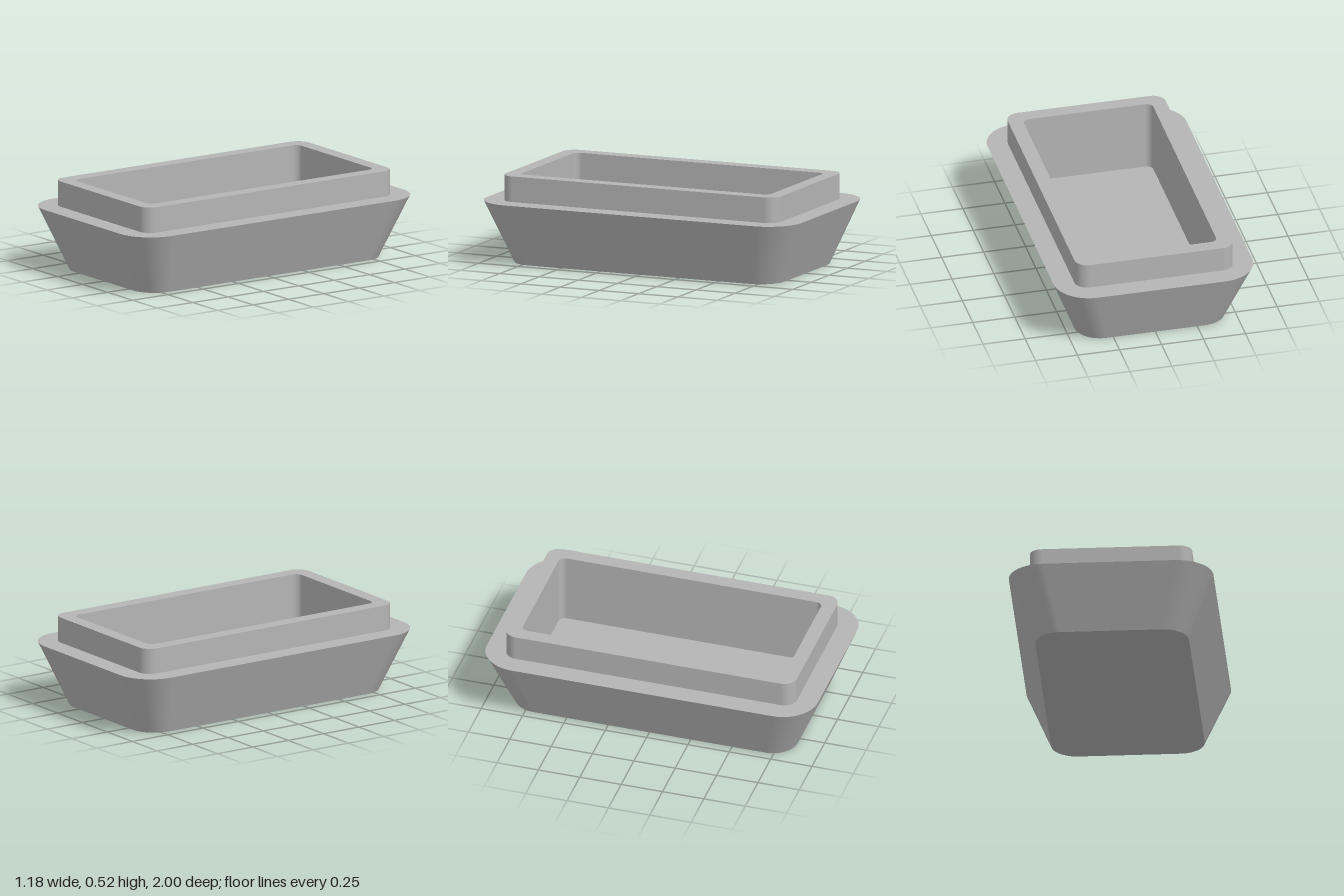
import * as THREE from 'three';

const SEGMENTS = 16; // steps per rounded corner

// Points of a rounded rectangle, with the outward direction at each point.
function ring({ w, d, r, y }) {
  const points = [];
  for (let corner = 0; corner < 4; corner++) {
    const sx = corner === 0 || corner === 3 ? 1 : -1;
    const sz = corner < 2 ? 1 : -1;
    for (let i = 0; i <= SEGMENTS; i++) {
      const a = (corner + i / SEGMENTS) * Math.PI / 2;
      const c = Math.cos(a), s = Math.sin(a);
      points.push({ x: sx * (w - r) + r * c, y, z: sz * (d - r) + r * s, c, s });
    }
  }
  points.push({ ...points[0] });
  return points;
}

// Surface between two rounded rectangles, smooth around the corners.
function loft(from, to) {
  const a = ring(from), b = ring(to);
  const rise = to.y - from.y;
  const positions = [], normals = [], index = [];
  a.forEach((p, i) => {
    const q = b[i];
    const spread = (q.x - p.x) * p.c + (q.z - p.z) * p.s;
    const n = new THREE.Vector3(p.c * rise, -spread, p.s * rise).normalize();
    positions.push(p.x, p.y, p.z, q.x, q.y, q.z);
    normals.push(n.x, n.y, n.z, n.x, n.y, n.z);
    if (i < a.length - 1) {
      const k = i * 2;
      index.push(k, k + 1, k + 2, k + 2, k + 1, k + 3);
    }
  });
  const geometry = new THREE.BufferGeometry();
  geometry.setAttribute('position', new THREE.Float32BufferAttribute(positions, 3));
  geometry.setAttribute('normal', new THREE.Float32BufferAttribute(normals, 3));
  geometry.setIndex(index);
  return geometry;
}

export function createModel() {
  const group = new THREE.Group();
  group.name = 'tray';
  const grey = new THREE.MeshStandardMaterial({ name: 'grey', color: 0xb4b4b4 });

  // Half width, half depth, corner radius and height of each section.
  const body = { w: 0.592, d: 1, r: 0.21, y: 0.37 };
  const foot = { w: 0.445, d: 0.852, r: 0.15, y: 0 };
  const lip = { w: 0.47, d: 0.877, r: 0.075, y: 0.37 };
  const lipTop = { ...lip, y: 0.52 };
  const opening = { w: 0.385, d: 0.793, r: 0.04, y: 0.52 };
  const floor = { ...opening, y: 0.1 };
  const centre = (y) => ({ w: 0, d: 0, r: 0, y });

  // Each part joins one section to the next, from the underside to the cavity floor.
  const parts = [
    ['underside', centre(0), foot],
    ['taperedBody', foot, body],
    ['shoulder', body, lip],
    ['lipWall', lip, lipTop],
    ['rim', lipTop, opening],
    ['cavityWall', opening, floor],
    ['cavityFloor', floor, centre(0.1)],
  ];
  for (const [name, from, to] of parts) {
    const mesh = new THREE.Mesh(loft(from, to), grey);
    mesh.name = name;
    group.add(mesh);
  }
  return group;
}
